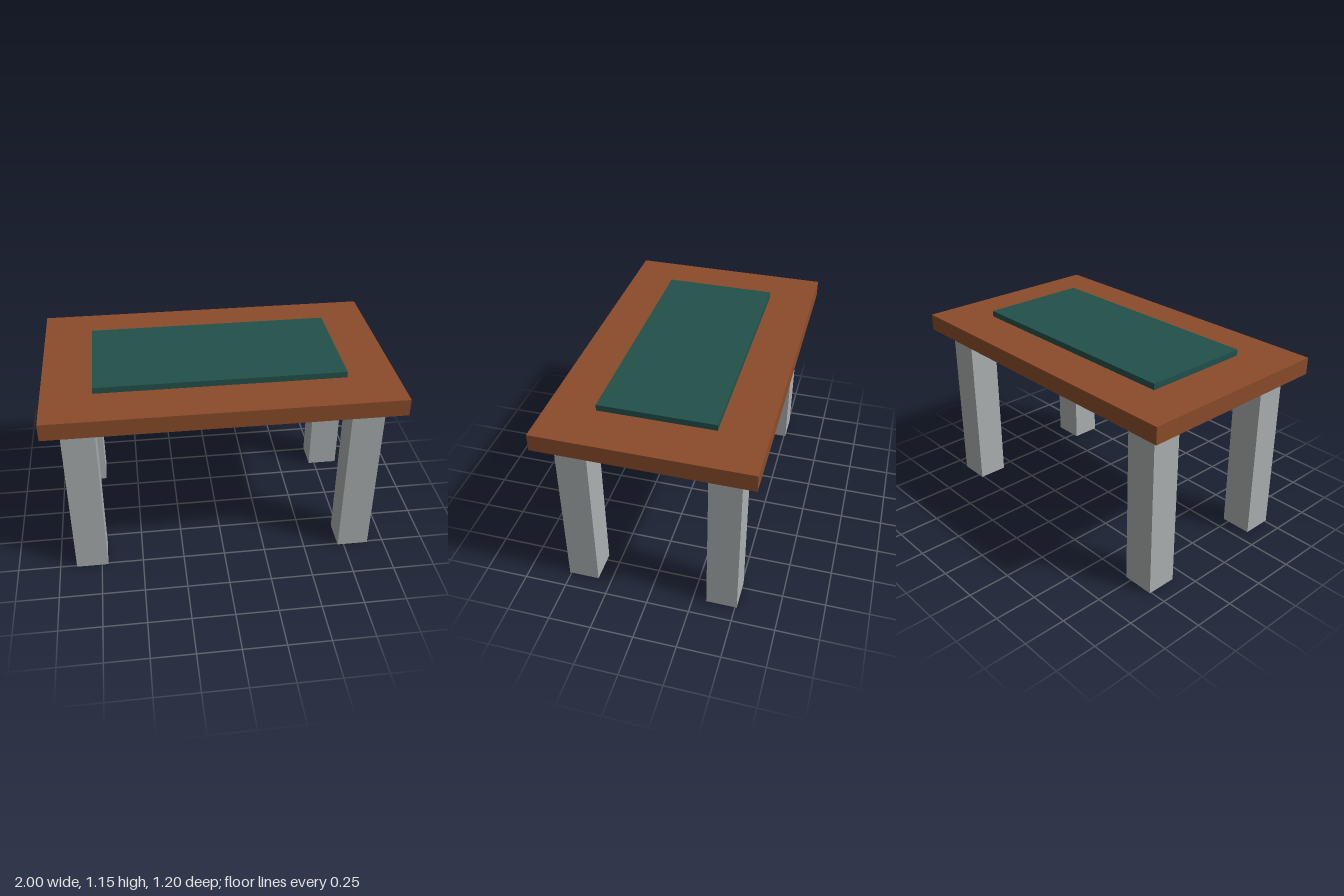
import * as THREE from 'three';

const material = (name, color) => {
  const m = new THREE.MeshStandardMaterial({ color });
  m.name = name;
  return m;
};

// Box standing on height y0, centred at (x, z)
function slab(name, mat, w, h, d, y0, x = 0, z = 0) {
  const mesh = new THREE.Mesh(new THREE.BoxGeometry(w, h, d), mat);
  mesh.name = name;
  mesh.position.set(x, y0 + h / 2, z);
  return mesh;
}

export function createModel() {
  const wood = material('brownWood', 0x8b4c2a);
  const grey = material('greyMetal', 0xabafaf);
  const green = material('darkGreen', 0x23514a);

  const table = new THREE.Group();
  table.name = 'table';

  // Table top and the raised mat on it
  table.add(slab('tableTop', wood, 2, 0.1, 1.2, 1.015));
  table.add(slab('mat', green, 1.426, 0.036, 0.66, 1.115));

  // Four square legs, one near each corner
  for (const [sx, side] of [[1, 'Left'], [-1, 'Right']]) {
    for (const [sz, end] of [[1, 'front'], [-1, 'back']]) {
      table.add(slab(`${end}${side}Leg`, grey, 0.188, 1.015, 0.18, 0, sx * 0.807, sz * 0.42));
    }
  }
  return table;
}
